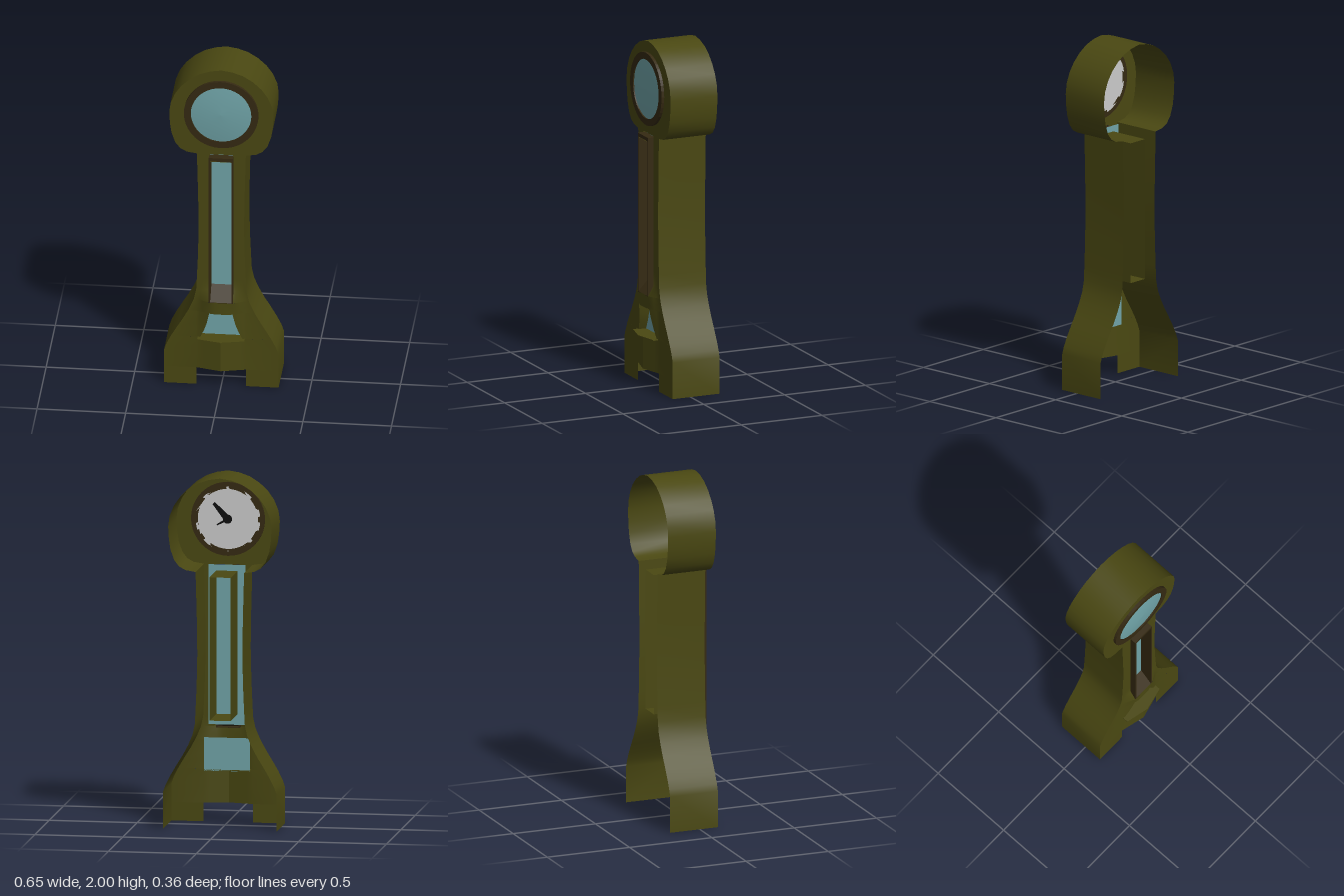
import * as THREE from 'three';
import { toCreasedNormals } from 'three/addons/utils/BufferGeometryUtils.js';

const mat = (color) => new THREE.MeshStandardMaterial({ color, side: THREE.DoubleSide });
const olive = mat(0x4a4812), brown = mat(0x352a12), glass = mat(0x70a4a8);
const grey = mat(0xcccccc), black = mat(0x0c0c0c);
const BACK = -0.18, FRONT = 0.11, DIAL_Y = 1.725;

// half outline of the case: [y, x], from the foot to the top of the trunk
const TRUNK = [[0, 0.323], [0.21, 0.323], [0.25, 0.309], [0.3, 0.284], [0.36, 0.249], [0.42, 0.212],
  [0.48, 0.18], [0.54, 0.155], [0.6, 0.142], [0.68, 0.138], [0.82, 0.132], [1.0, 0.128], [1.2, 0.131], [1.465, 0.138]];
// half outline of the round head, from its underside to the top
const HEAD = [[1.468, 0.155], [1.474, 0.195], [1.494, 0.232], [1.53, 0.26], [1.59, 0.281], [1.65, 0.29], [1.72, 0.294],
  [1.78, 0.286], [1.84, 0.261], [1.89, 0.226], [1.935, 0.178], [1.97, 0.122], [1.99, 0.064], [2, 0]];

// surface through rows of [x, y, z] points
function loft(rows, crease = 0.6) {
  const n = rows[0].length, index = [];
  for (let i = 0; i < rows.length - 1; i++) {
    for (let j = 0; j < n - 1; j++) {
      const a = i * n + j, b = a + n;
      index.push(a, a + 1, b, b, a + 1, b + 1);
    }
  }
  const g = new THREE.BufferGeometry();
  g.setAttribute('position', new THREE.Float32BufferAttribute(rows.flat(2), 3));
  g.setIndex(index);
  return toCreasedNormals(g, crease);
}

function outlineX(y) {
  const i = Math.max(1, TRUNK.findIndex((p) => p[0] >= y));
  const [a, b] = [TRUNK[i - 1], TRUNK[i]];
  return a[1] + (b[1] - a[1]) * (y - a[0]) / (b[0] - a[0]);
}

// bulge of the front panel towards the centre line
function frontZ(x, y) {
  if (y > 0.545) return FRONT;
  const flat = y < 0.3 ? 0 : 0.07 * (y - 0.3) / 0.24;
  return FRONT + 0.035 * THREE.MathUtils.clamp((0.14 - x) / (0.14 - flat), 0, 1);
}

// lower window half outline: [y, x]
const LOWER = [[0.3, 0.12], [0.35, 0.097], [0.4, 0.08], [0.465, 0.066]];

export function createModel() {
  const model = new THREE.Group();
  const add = (name, geometry, material, z = 0, y = 0, parent = model) => {
    const m = new THREE.Mesh(geometry, material);
    m.name = name;
    m.position.set(0, y, z);
    parent.add(m);
    return m;
  };

  // case wall, open at the back and underneath
  const half = [...TRUNK, ...HEAD];
  const loop = [...half.map(([y, x]) => [x, y]), ...half.slice(0, -1).reverse().map(([y, x]) => [-x, y])];
  add('caseWall', loft([FRONT, BACK].map((z) => loop.map(([x, y]) => [x, y, z]))), olive);

  // front panel: rows of [y, inner edge], broken where an opening begins or ends
  const sections = [
    [[0, 0.14], [0.105, 0.14]],
    [[0.105, 0], [0.21, 0], [0.25, 0], [0.2999, 0]],
    LOWER,
    [[0.465, 0], [0.5, 0], [0.54, 0]],
    [[0.54, 0.065], [0.5401, 0.065], [0.6, 0.065], [0.68, 0.065], [0.82, 0.065], [1.0, 0.065], [1.2, 0.065], [1.465, 0.065]],
  ];
  for (const s of [1, -1]) {
    for (const rows of sections) {
      add('frontPanel', loft(rows.map(([y, inner]) => {
        const outer = outlineX(y), mid = Math.min(Math.max(inner + 0.005, 0.14), outer - 0.005);
        return [0, 0.25, 0.5, 0.75, 1, 2].map((t) => {
          const x = t > 1 ? outer : inner + (mid - inner) * t;
          return [s * x, y, frontZ(x, y)];
        });
      }), 0.9), olive);
    }
    // reveal of the lower window
    add('lowerWindowSide', loft(LOWER.map(([y, x]) => [[s * x, y, frontZ(x, y)], [s * x, y, 0.07]])), olive);
    // long channel beside the main window, running to the back
    add('channelWall', loft([[0.62, 0.07], [1.435, 0.07]].map(([y, z]) => [[s * 0.06, y, z], [s * 0.06, y, -0.17]])), olive);
    add('windowReveal', loft([[[s * 0.06, 0.54, 0.145], [s * 0.06, 0.62, 0.07]],
      [[s * 0.06, 1.435, 0.145], [s * 0.06, 1.435, 0.07]]]), brown);
  }

  // head front with the dial opening
  const headShape = new THREE.Shape();
  headShape.moveTo(-0.138, 1.465);
  headShape.lineTo(0.138, 1.465);
  HEAD.forEach(([y, x]) => headShape.lineTo(x, y));
  HEAD.slice(0, -1).reverse().forEach(([y, x]) => headShape.lineTo(-x, y));
  headShape.holes.push(new THREE.Path().absarc(0, DIAL_Y, 0.185, 0, Math.PI * 2, true));
  add('headFront', new THREE.ShapeGeometry(headShape, 32), olive, FRONT);

  // dial with bezel, domed glass and hands
  const bezel = new THREE.Shape().absarc(0, 0, 0.21, 0, Math.PI * 2);
  bezel.holes.push(new THREE.Path().absarc(0, 0, 0.171, 0, Math.PI * 2, true));
  add('bezel', new THREE.ExtrudeGeometry(bezel, { depth: 0.027, bevelEnabled: false, curveSegments: 20 }), brown, 0.1, DIAL_Y);
  const dome = [[0.171, 0.12], [0.12, 0.126], [0.06, 0.13], [0, 0.132]].map(([r, h]) => new THREE.Vector2(r, h));
  add('dialGlass', new THREE.LatheGeometry(dome, 40).rotateX(Math.PI / 2), glass, 0, DIAL_Y);
  add('dialFace', new THREE.CircleGeometry(0.185, 40), grey, 0.1, DIAL_Y);
  const hands = new THREE.Group();
  hands.name = 'hands';
  hands.position.set(0, DIAL_Y, 0.09);
  model.add(hands);
  for (const [length, width, angle] of [[0.12, 0.02, 0.85], [0.07, 0.008, -0.5]]) {
    const hand = new THREE.Shape([[0, -width], [length, -width * 0.45], [length, width * 0.45], [0, width]]
      .map(([x, y]) => new THREE.Vector2(x, y)));
    add('hand', new THREE.ShapeGeometry(hand), black, 0, 0, hands).rotation.z = angle;
  }
  add('handHub', new THREE.CylinderGeometry(0.025, 0.025, 0.012, 16).rotateX(Math.PI / 2), black, 0, 0, hands);

  // main window: raised frame, sloping sill, channel ends and pane
  const rect = (P, w, y0, y1) => new P([[-w, y0], [w, y0], [w, y1], [-w, y1]].map(([x, y]) => new THREE.Vector2(x, y)));
  const frame = rect(THREE.Shape, 0.068, 0.537, 1.458);
  frame.holes.push(rect(THREE.Path, 0.06, 0.54, 1.437));
  add('windowFrame', new THREE.ExtrudeGeometry(frame, { depth: 0.045, bevelEnabled: false }), brown, 0.1);
  const across = (...points) => loft(points.map(([y, z]) => [[-0.06, y, z], [0.06, y, z]]));
  add('windowSill', across([0.54, 0.145], [0.62, 0.07]), brown);
  add('channelFloor', across([0.62, 0.07], [0.62, -0.17]), olive);
  add('channelTop', across([1.435, 0.145], [1.435, -0.17]), olive);
  add('windowPane', new THREE.PlaneGeometry(0.21, 0.91), glass, 0.07, 1.015);

  // lower window: pane, hood and pointed ledge
  add('lowerPane', new THREE.PlaneGeometry(0.26, 0.19), glass, 0.07, 0.39);
  add('lowerHood', across([0.465, 0.143], [0.465, 0.07]), olive);
  const ledge = new THREE.Shape([[-0.133, -0.07], [-0.133, -0.145], [0, -0.175], [0.133, -0.145], [0.133, -0.07]]
    .map(([x, y]) => new THREE.Vector2(x, y)));
  add('lowerLedge', new THREE.ExtrudeGeometry(ledge, { depth: 0.006, bevelEnabled: false }).rotateX(-Math.PI / 2), olive, 0, 0.296);

  return model;
}
